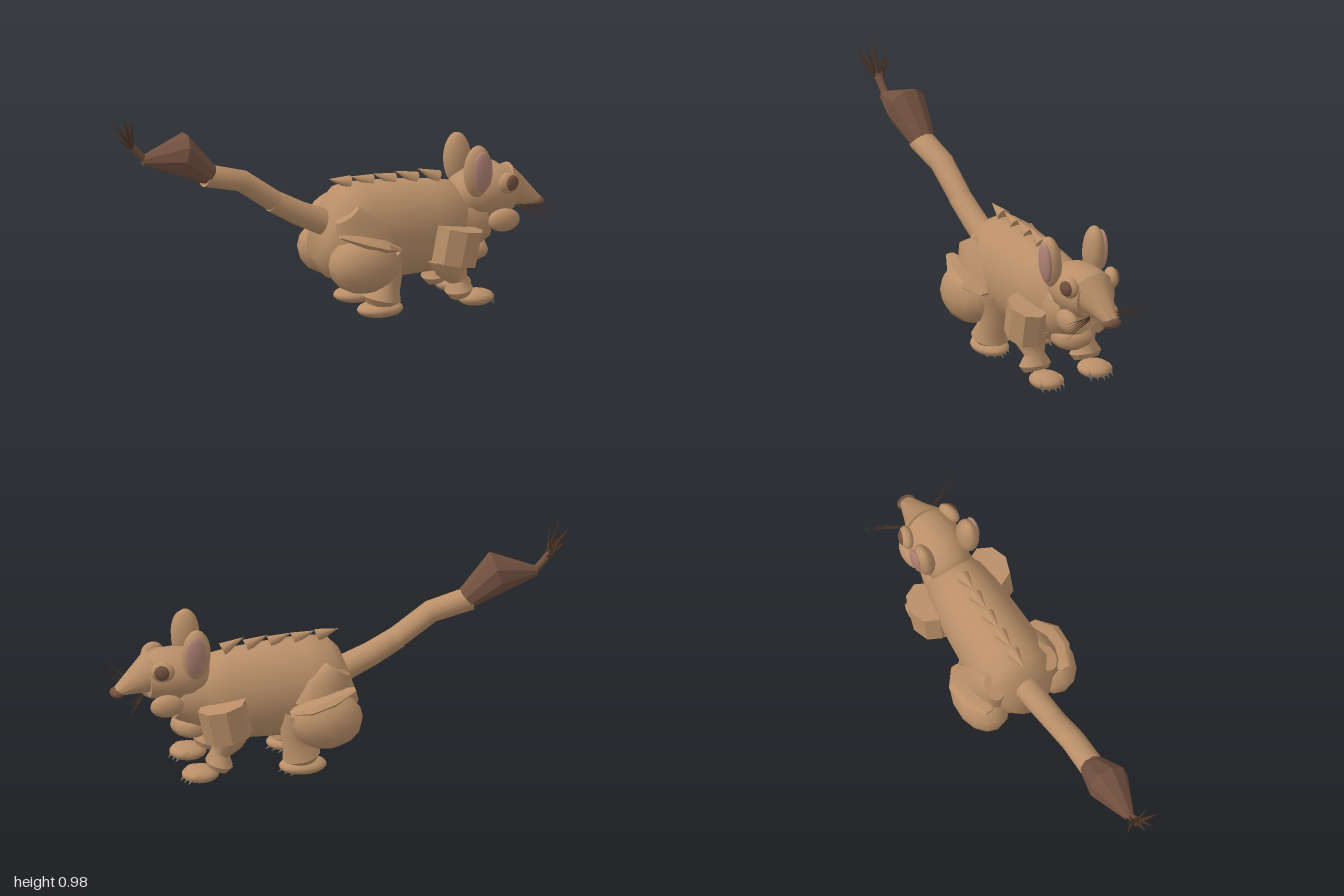
import * as THREE from 'three';
import { toCreasedNormals } from 'three/addons/utils/BufferGeometryUtils.js';

const mat = (name, color) => {
  const m = new THREE.MeshStandardMaterial({ color });
  m.name = name;
  return m;
};

export function createModel() {
  const fur = mat('tan fur', 0xb98f68);
  const brown = mat('dark brown', 0x71503f);
  const bristle = mat('bristle brown', 0x4a3527);
  const pink = mat('inner ear pink', 0xb08274);
  const grey = mat('claw grey', 0x77716a);

  const root = new THREE.Group();
  root.name = 'longTailedRodent';

  const add = (name, geo, material) => {
    const m = new THREE.Mesh(geo, material);
    m.name = name;
    root.add(m);
    return m;
  };

  // Elliptical rings [x, y, radius in plane, radius in z] swept along a path, capped at both ends
  const loft = (name, rings, material, z = 0, seg = 20, crease = 0.75) => {
    const pos = [], idx = [], n = rings.length;
    rings.forEach(([x, y, r, rz], i) => {
      const a = rings[Math.max(i - 1, 0)], b = rings[Math.min(i + 1, n - 1)];
      const len = Math.hypot(b[0] - a[0], b[1] - a[1]);
      const nx = -(b[1] - a[1]) / len, ny = (b[0] - a[0]) / len;
      for (let j = 0; j < seg; j++) {
        const t = (j / seg) * Math.PI * 2, c = Math.cos(t) * r;
        pos.push(x + nx * c, y + ny * c, z + Math.sin(t) * rz);
      }
    });
    const first = n * seg, end = (n - 1) * seg;
    pos.push(rings[0][0], rings[0][1], z, rings[n - 1][0], rings[n - 1][1], z);
    for (let j = 0; j < seg; j++) {
      const k = (j + 1) % seg;
      for (let i = 0; i < n - 1; i++) {
        const a = i * seg + j, b = i * seg + k;
        idx.push(a, b, a + seg, b, b + seg, a + seg);
      }
      idx.push(first, k, j, first + 1, end + j, end + k);
    }
    const g = new THREE.BufferGeometry();
    g.setAttribute('position', new THREE.Float32BufferAttribute(pos, 3));
    g.setIndex(idx);
    return add(name, toCreasedNormals(g, crease), material);
  };

  const ball = (name, x, y, z, rx, ry, rz, material, w = 20, h = 14) => {
    const m = add(name, new THREE.SphereGeometry(1, w, h).scale(rx, ry, rz), material);
    m.position.set(x, y, z);
    return m;
  };

  // Cone from a base point to a tip point
  const spike = (name, from, to, r, material, seg = 6) => {
    const a = new THREE.Vector3(...from), b = new THREE.Vector3(...to), d = b.clone().sub(a);
    const m = add(name, new THREE.ConeGeometry(r, d.length(), seg), material);
    m.position.copy(a).add(b).multiplyScalar(0.5);
    m.quaternion.setFromUnitVectors(new THREE.Vector3(0, 1, 0), d.normalize());
    return m;
  };

  // Body, neck and chest
  loft('body', [[-0.03, 0.385, 0.13, 0.1], [0.03, 0.365, 0.2, 0.165], [0.15, 0.355, 0.215, 0.172],
    [0.32, 0.35, 0.21, 0.162], [0.48, 0.345, 0.2, 0.15], [0.58, 0.355, 0.175, 0.13],
    [0.65, 0.36, 0.11, 0.09]], fur, 0, 24, 1);
  loft('neck', [[0.5, 0.34, 0.15, 0.12], [0.62, 0.34, 0.14, 0.12], [0.71, 0.36, 0.1, 0.1]], fur);
  ball('chest', 0.65, 0.22, 0, 0.09, 0.055, 0.095, fur, 10, 6);

  // Row of back spines pointing to the rear
  for (let i = 0; i < 5; i++) {
    const x = 0.01 + i * 0.102;
    spike('backSpine', [x + 0.095, 0.572 - i * 0.006, 0], [x, 0.597, 0], 0.03, fur, 10);
  }

  // Head, snout and nose
  loft('head', [[0.57, 0.45, 0.05, 0.06], [0.6, 0.455, 0.085, 0.09], [0.66, 0.46, 0.108, 0.113],
    [0.73, 0.463, 0.113, 0.118], [0.79, 0.465, 0.11, 0.112], [0.84, 0.462, 0.095, 0.095]], fur, 0, 24, 1);
  loft('snout', [[0.8, 0.484, 0.1, 0.102], [0.88, 0.445, 0.064, 0.062], [0.97, 0.4, 0.02, 0.03]], fur);
  ball('nose', 0.97, 0.394, 0, 0.03, 0.022, 0.042, brown);

  for (const s of [1, -1]) {
    // Cheeks, eyes and ears
    ball('cheek', 0.775, 0.355, s * 0.1, 0.072, 0.05, 0.035, fur);
    ball('eyeSocket', 0.795, 0.518, s * 0.105, 0.052, 0.046, 0.03, fur).rotation.y = s * 0.3;
    ball('eye', 0.802, 0.52, s * 0.122, 0.034, 0.034, 0.018, brown).rotation.y = s * 0.3;
    ball('ear', 0.65, 0.585, s * 0.108, 0.062, 0.115, 0.043, fur).rotation.x = s * 0.06;
    ball('innerEar', 0.66, 0.59, s * 0.139, 0.046, 0.09, 0.019, pink).rotation.x = s * 0.06;

    // Whiskers
    [[0.385, 0.443, 0.24], [0.39, 0.418, 0.22], [0.385, 0.4, 0.21], [0.38, 0.385, 0.23], [0.375, 0.367, 0.24]]
      .forEach(([y0, y1, z]) => spike('whisker', [0.87, y0 + 0.01, s * 0.05],
        [0.88 + (z - 0.1) * 0.7, y1, s * z], 0.003, bristle, 4));

    // Hind leg with a folded hip
    ball('thigh', 0.1, 0.255, s * 0.165, 0.158, 0.125, 0.113, fur, 14, 8);
    loft('hip', [[0.04, 0.47, 0.06, 0.04], [0.09, 0.39, 0.11, 0.07], [0.13, 0.3, 0.13, 0.08]], fur, s * 0.13, 12);
    loft('hipFold', [[-0.02, 0.395, 0.006, 0.02], [0.08, 0.365, 0.025, 0.075],
      [0.18, 0.335, 0.025, 0.08], [0.26, 0.31, 0.006, 0.02]], fur, s * 0.19, 8, 0.4);
    loft('shin', [[0.2, 0.27, 0.09, 0.08], [0.23, 0.18, 0.06, 0.06], [0.215, 0.13, 0.065, 0.07],
      [0.2, 0.085, 0.083, 0.083], [0.2, 0.06, 0.06, 0.06]], fur, s * 0.125, 14);
    ball('hindFoot', 0.193, 0.04, s * 0.125, 0.102, 0.035, 0.075, fur);

    // Foreleg
    const shoulder = add('shoulder', toCreasedNormals(
      new THREE.CylinderGeometry(0.105, 0.104, 0.155, 8).scale(1, 1, 0.78), 0.5), fur);
    shoulder.position.set(0.535, 0.285, s * 0.155);
    shoulder.rotation.set(0, 0, -0.2);
    loft('foreleg', [[0.515, 0.23, 0.1, 0.08], [0.52, 0.18, 0.07, 0.065], [0.55, 0.13, 0.042, 0.045],
      [0.555, 0.085, 0.06, 0.072], [0.565, 0.06, 0.045, 0.055]], fur, s * 0.125, 12);
    ball('forefoot', 0.635, 0.04, s * 0.12, 0.08, 0.035, 0.07, fur);

    // Toes and claws
    for (let i = -2; i <= 2; i++) {
      const z = s * 0.12 + i * 0.026, back = Math.abs(i) * 0.01;
      ball('toe', 0.675 - back, 0.042, z, 0.035, 0.02, 0.015, fur, 10, 8);
      spike('foreClaw', [0.692 - back, 0.045, z], [0.722 - back, 0.012, z], 0.012, grey);
      spike('hindClaw', [0.27 - back * 2, 0.03, z], [0.3 - back * 2, 0.012, z], 0.008, grey);
    }
  }

  // Tail with a swollen dark end
  loft('tailBase', [[0.03, 0.39, 0.06, 0.06], [-0.03, 0.42, 0.056, 0.056], [-0.13, 0.465, 0.052, 0.052],
    [-0.25, 0.533, 0.048, 0.05]], fur, 0, 14);
  loft('tailMiddle', [[-0.23, 0.522, 0.046, 0.05], [-0.39, 0.636, 0.047, 0.053], [-0.56, 0.68, 0.05, 0.055]], fur, 0, 14);
  loft('tailBulb', [[-0.545, 0.683, 0.047, 0.057], [-0.675, 0.79, 0.092, 0.092],
    [-0.848, 0.777, 0.021, 0.022]], brown, 0, 9, 0.4);

  // Bristly tuft on the tail tip
  loft('tuftStem', [[-0.835, 0.778, 0.016, 0.016], [-0.875, 0.82, 0.015, 0.016], [-0.91, 0.86, 0.018, 0.02]], brown, 0, 8);
  const tips = [[-0.995, 0.955], [-0.985, 0.975], [-0.965, 0.985], [-0.94, 0.985], [-0.915, 0.975],
    [-0.893, 0.955], [-0.955, 0.93], [-0.91, 0.93], [-0.98, 0.91]];
  tips.forEach(([x, y], i) => {
    const z = [0.03, -0.02, 0.075, 0, 0.045, -0.035, -0.075, -0.06, 0.0][i];
    spike('tuftBristle', [-0.893 - (i % 3) * 0.008, 0.845, z * 0.2], [x, y, z], 0.011, bristle, 5);
  });

  return root;
}
